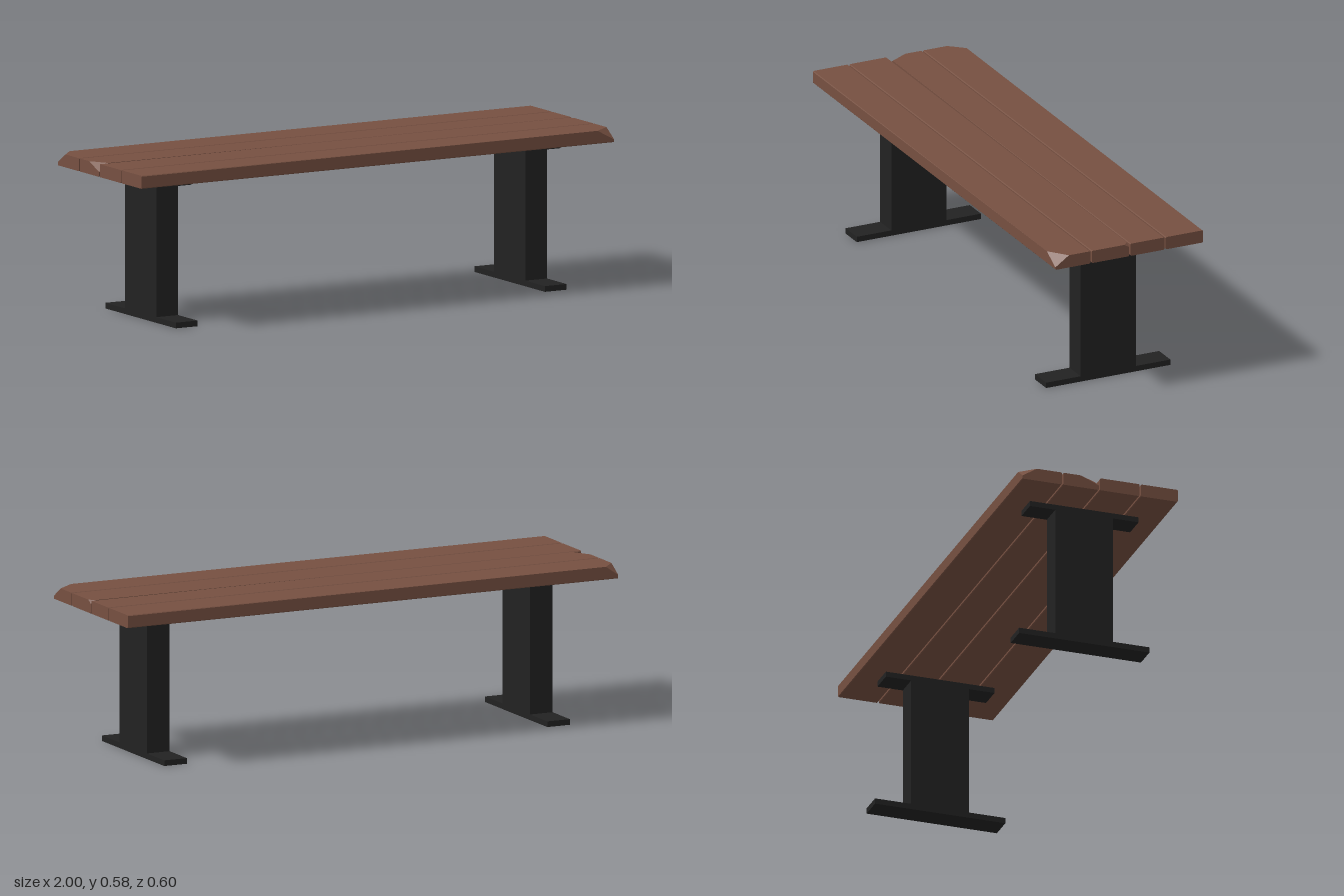
import * as THREE from 'three';
import { ConvexGeometry } from 'three/addons/geometries/ConvexGeometry.js';

const wood = new THREE.MeshStandardMaterial({ color: 0x765041 });
wood.name = 'brown wood';
const metal = new THREE.MeshStandardMaterial({ color: 0x222222 });
metal.name = 'black metal';

const BOTTOM = 0.537, TOP = 0.585, BEVEL = 0.003;

// Plank along x with eased long edges; a chip cuts one top corner.
// chip: { x, z: side signs, size: [along x, down y, along z] }
function plank(name, z0, z1, chip) {
  const points = [];
  const add = (x, y, z) => points.push(new THREE.Vector3(x, y, z));
  for (const sx of [-1, 1]) for (const sy of [-1, 1]) for (const sz of [-1, 1]) {
    const y = sy > 0 ? TOP : BOTTOM;
    const z = sz > 0 ? z1 : z0;
    if (chip && sy > 0 && sx === chip.x && sz === chip.z) {
      const [dx, dy, dz] = chip.size;
      add(sx - sx * dx, y, z);
      add(sx, y - dy, z);
      add(sx, y, z - sz * dz);
    } else {
      add(sx, y - sy * BEVEL, z);
      add(sx, y, z - sz * BEVEL);
    }
  }
  const mesh = new THREE.Mesh(new ConvexGeometry(points), wood);
  mesh.name = name;
  return mesh;
}

function box(name, width, y0, y1, depth) {
  const mesh = new THREE.Mesh(new THREE.BoxGeometry(width, y1 - y0, depth), metal);
  mesh.name = name;
  mesh.position.y = (y0 + y1) / 2;
  return mesh;
}

export function createModel() {
  const bench = new THREE.Group();
  bench.name = 'bench';

  // Seat boards, front to back, with worn corners
  bench.add(
    plank('frontPlank', 0.157, 0.3, { x: 1, z: 1, size: [0.07, 0.038, 0.055] }),
    plank('frontMiddlePlank', 0, 0.152, { x: 1, z: -1, size: [0.02, 0.012, 0.02] }),
    plank('backMiddlePlank', -0.143, -0.005, { x: -1, z: -1 * -1, size: [0.04, 0.03, 0.07] }),
    plank('backPlank', -0.3, -0.148, { x: -1, z: -1, size: [0.05, 0.035, 0.055] })
  );

  // Two pedestal legs
  for (const side of [-1, 1]) {
    const leg = new THREE.Group();
    leg.name = side > 0 ? 'leftLeg' : 'rightLeg';
    leg.position.x = side * 0.781;
    leg.add(
      box('foot', 0.092, 0, 0.021, 0.504),
      box('column', 0.092, 0.021, 0.517, 0.224),
      box('seatSupport', 0.092, 0.517, BOTTOM, 0.42)
    );
    bench.add(leg);
  }
  return bench;
}
